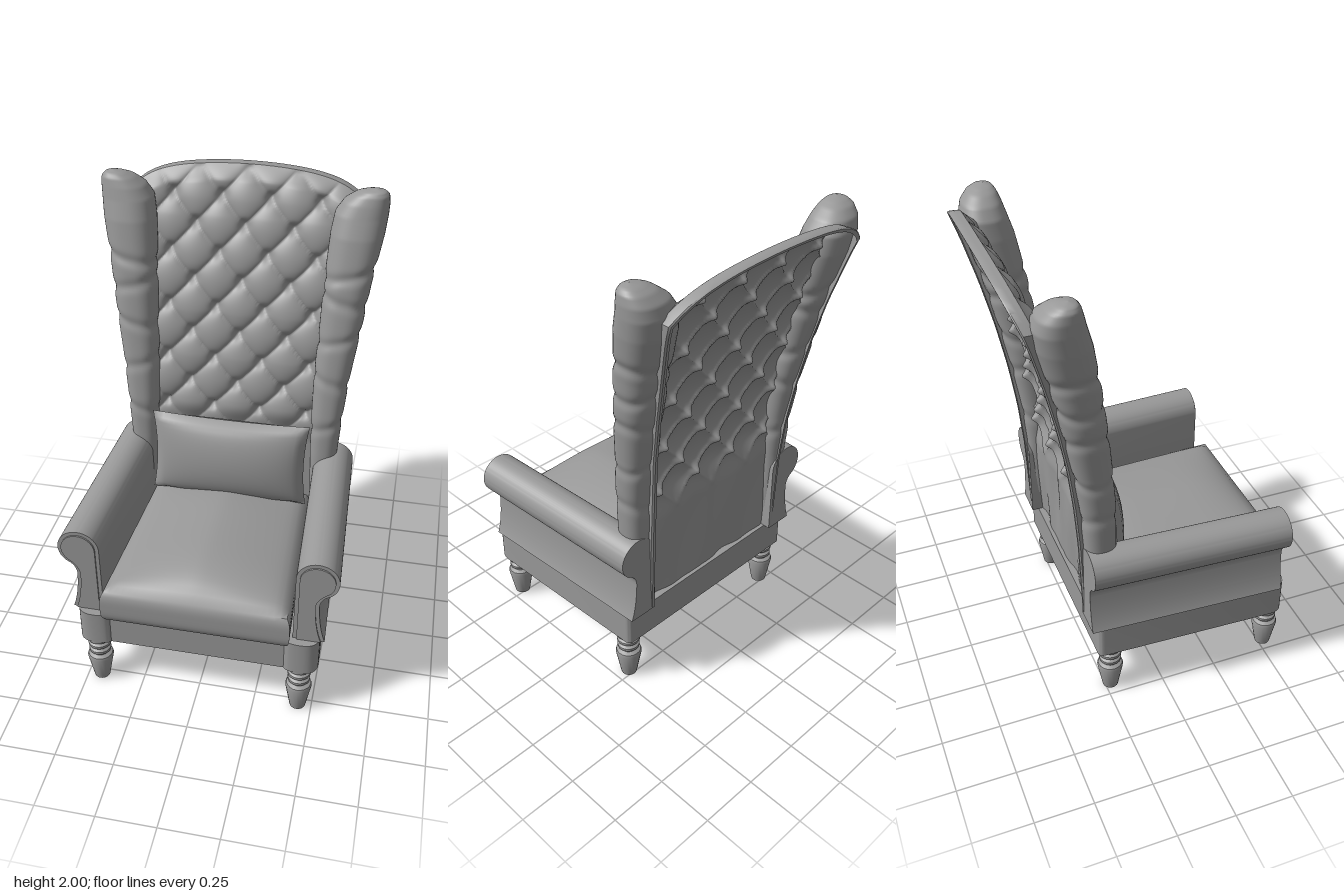
import * as THREE from 'three';
import { toCreasedNormals } from 'three/addons/utils/BufferGeometryUtils.js';

const GREY = 0x999999;
const mat = new THREE.MeshStandardMaterial({ color: GREY });
const thin = new THREE.MeshStandardMaterial({ color: GREY, side: THREE.DoubleSide });
const { sin, cos, abs, exp, PI, pow, sign, sqrt } = Math;

// Smooth grid surface: f(u, v) -> [x, y, z], u and v from 0 to 1
function surface(nu, nv, f, wrap = false) {
  const pos = [], idx = [], cols = wrap ? nu : nu + 1;
  for (let j = 0; j <= nv; j++)
    for (let i = 0; i < cols; i++) pos.push(...f(i / nu, j / nv));
  for (let j = 0; j < nv; j++)
    for (let i = 0; i < nu; i++) {
      const a = j * cols + i, b = j * cols + (i + 1) % cols;
      idx.push(a, b, b + cols, a, b + cols, a + cols);
    }
  const g = new THREE.BufferGeometry();
  g.setAttribute('position', new THREE.Float32BufferAttribute(pos, 3));
  g.setIndex(idx);
  g.computeVertexNormals();
  return g;
}

// Linear lookup in rows of [key, value, value...]
function lookup(rows, y) {
  let i = 0;
  while (i < rows.length - 2 && y > rows[i + 1][0]) i++;
  const a = rows[i], b = rows[i + 1];
  const t = THREE.MathUtils.clamp((y - a[0]) / (b[0] - a[0]), 0, 1);
  return a.map((v, k) => v + (b[k] - v) * t).slice(1);
}

// Move every vertex by a rule
function warp(g, rule) {
  const p = g.attributes.position, v = new THREE.Vector3();
  for (let i = 0; i < p.count; i++) {
    rule(v.fromBufferAttribute(p, i));
    p.setXYZ(i, v.x, v.y, v.z);
  }
  return g;
}

// Backrest outline: [height, rear z, half width]
const BACK = [[0.4, -0.322, 0.385], [0.8, -0.338, 0.39], [1, -0.355, 0.4], [1.2, -0.382, 0.42],
  [1.4, -0.42, 0.44], [1.6, -0.468, 0.465], [1.8, -0.525, 0.5], [1.87, -0.55, 0.51], [2, -0.6, 0.52]];
const PITCH_X = 0.21, PITCH_Y = 0.23, BUTTON_Y = 1.765;

function backPoint(u, v, inset = 0) {
  const top = 2 - 0.06 * u * u - 0.07 * pow(u, 6);
  const y = 0.4 + v * (top - 0.4);
  const [z, w] = lookup(BACK, y);
  return [u * (w - inset), y, z];
}

// Diamond tufting with button pits, fading into soft pleats near the seat
function puff(x, y) {
  const u = x / PITCH_X, v = (y - BUTTON_Y) / PITCH_Y;
  const sa = sin(PI * (u + v)), sb = sin(PI * (u - v)), d = sa * sa + sb * sb;
  const tuft = 0.026 * sqrt(abs(sa * sb)) + 0.014 * (1 - exp(-d * 3)) - 0.016 * exp(-d * 8);
  const pleat = 0.016 * pow(sin(PI * u), 2) * (0.5 + 0.5 * sin(3 * u + 9 * y)) - 0.004;
  const k = THREE.MathUtils.smoothstep(y, 0.8, 0.98);
  return pleat * (1 - k) + tuft * k;
}

// Wing sections: [height, centre x, centre z, radius x, radius z]
const WING = [[0.5, 0.415, -0.255, 0.05, 0.06], [0.8, 0.413, -0.256, 0.06, 0.064], [1, 0.418, -0.264, 0.068, 0.07],
  [1.2, 0.427, -0.288, 0.078, 0.076], [1.4, 0.445, -0.32, 0.088, 0.084], [1.6, 0.459, -0.356, 0.098, 0.092],
  [1.8, 0.481, -0.402, 0.109, 0.1], [1.88, 0.491, -0.42, 0.107, 0.094], [1.93, 0.508, -0.42, 0.092, 0.08],
  [1.965, 0.528, -0.41, 0.068, 0.058], [1.983, 0.54, -0.4, 0.04, 0.034], [1.99, 0.545, -0.396, 0.001, 0.001]];
const GROOVES = [0.95, 1.17, 1.36, 1.53, 1.64];

function wingPoint(u, v) {
  const y = 0.5 + 1.49 * (1 - pow(1 - v, 1.3));
  const [cx, cz, rx, rz] = lookup(WING, y);
  const a = u * 2 * PI, c = cos(a), s = sin(a);
  let k = 1.015;
  GROOVES.forEach((g, i) => {
    const d = y - g + 0.025 * c * (i % 2 ? 1 : -1);
    k -= 0.09 * exp(-pow(d / 0.024, 2));
  });
  return [cx + rx * k * sign(c) * pow(abs(c), 0.85), y, cz - rz * k * sign(s) * pow(abs(s), 0.85)];
}

// Scroll arm section, shrunk by d for the front facing
function armShape(d) {
  const s = new THREE.Shape();
  s.moveTo(0.405 + d, 0.4);
  s.lineTo(0.407 + d, 0.72);
  s.absarc(0.495, 0.72, 0.088 - d, PI, -0.9, true);
  s.quadraticCurveTo(0.505 - d, 0.63, 0.508 - d, 0.58);
  s.quadraticCurveTo(0.512 - d, 0.47, 0.538 - d, 0.4);
  s.closePath();
  return s;
}
function armGeometry(d, z0, z1) {
  const g = new THREE.ExtrudeGeometry(armShape(d), { depth: z1 - z0, bevelEnabled: false, curveSegments: 20 });
  g.translate(0, 0, z0);
  warp(g, p => { p.x -= (0.535 - p.z) * 0.045; });
  return toCreasedNormals(g, 0.7);
}

export function createModel() {
  const chair = new THREE.Group();
  const add = (name, geo, m = mat) => {
    const mesh = new THREE.Mesh(geo, m);
    mesh.name = name;
    chair.add(mesh);
    return mesh;
  };

  // Turned legs
  const legProfile = [[0, 0], [0.034, 0], [0.038, 0.02], [0.057, 0.125], [0.053, 0.137], [0.036, 0.145], [0.036, 0.152],
    [0.048, 0.16], [0.048, 0.172], [0.036, 0.18], [0.05, 0.195], [0.05, 0.207], [0.038, 0.215], [0.052, 0.228], [0.052, 0.245]];
  const leg = toCreasedNormals(new THREE.LatheGeometry(legProfile.map(p => new THREE.Vector2(...p)), 20), 0.6);
  for (const s of [1, -1])
    for (const [n, x, z] of [['front', 0.44, 0.525], ['rear', 0.435, -0.225]])
      add(n + (s > 0 ? 'LeftLeg' : 'RightLeg'), leg).position.set(s * x, 0, z);

  // Seat rail with rounded front corner blocks
  const rail = new THREE.Shape();
  rail.moveTo(-0.465, -0.292);
  rail.lineTo(0.465, -0.292);
  rail.quadraticCurveTo(0.49, -0.292, 0.491, -0.265);
  rail.lineTo(0.518, 0.51);
  rail.quadraticCurveTo(0.518, 0.577, 0.445, 0.577);
  rail.quadraticCurveTo(0.385, 0.577, 0.375, 0.557);
  rail.lineTo(-0.375, 0.557);
  rail.quadraticCurveTo(-0.385, 0.577, -0.445, 0.577);
  rail.quadraticCurveTo(-0.518, 0.577, -0.518, 0.51);
  rail.lineTo(-0.491, -0.265);
  rail.quadraticCurveTo(-0.49, -0.292, -0.465, -0.292);
  const railGeo = new THREE.ExtrudeGeometry(rail, { depth: 0.16, bevelEnabled: false, curveSegments: 8 });
  railGeo.rotateX(PI / 2).translate(0, 0.4, 0);
  add('seatRail', toCreasedNormals(railGeo, 0.6));

  // Crowned seat cushion with softened edges, narrower at the rear
  const cushion = new THREE.BoxGeometry(2, 1, 2, 28, 10, 28);
  warp(cushion, p => {
    const x = p.x, z = p.z, h = p.y + 0.5;
    const edge = 1 - 0.035 * pow(abs(2 * p.y), 4);
    const soft = 0.02 * Math.max(pow(abs(x), 16), pow(abs(z), 16));
    p.z = 0.17 + z * 0.43 * edge;
    p.x = x * (0.38 + 0.02 * z) * edge;
    p.y = 0.395 + h * (0.172 - soft + 0.073 * (1 - pow(abs(x), 1.5)) * (1 - pow(z, 4)));
  });
  add('seatCushion', toCreasedNormals(cushion, 0.9));

  // Lumbar pillow, pinched towards its corners
  const pillowSide = side => surface(28, 20, (u, v) => {
    const a = (2 * u - 1) * side, b = 2 * v - 1;
    const t = 0.092 * pow((1 - a * a) * (1 - b * b), 0.45);
    return [a * 0.355 * (1 - 0.05 * (1 - b * b)), b * 0.2 * (1 - 0.05 * (1 - a * a)), side * t];
  });
  for (const [n, s] of [['pillowFront', 1], ['pillowBack', -1]]) {
    const m = add(n, pillowSide(s));
    m.position.set(0, 0.77, -0.158);
    m.rotation.x = -0.08;
  }

  // Tufted back panel
  add('tuftedBack', surface(150, 210, (u, v) => {
    const p = backPoint(2 * u - 1, v);
    const fade = Math.min(1, (1 - abs(2 * u - 1)) * 12, (1 - v) * 28);
    p[2] += 0.05 + fade * puff(p[0], p[1]);
    return p;
  }), thin);

  // Back frame: rim around sides and top, turned in slightly at the rear
  const rimSection = [[0.05, 0], [0.03, -0.004], [0.006, -0.004], [0, 0.002], [0, 0.014]];
  add('backFrame', toCreasedNormals(surface(90, 4, (t, k) => {
    const [dz, inset] = rimSection[Math.round(k * 4)];
    const s = t * 3;
    const u = s < 1 ? -1 : s > 2 ? 1 : 2 * (s - 1) - 1;
    const v = s < 1 ? s : s > 2 ? 3 - s : 1;
    const p = backPoint(u, v * (1 - Math.max(inset, 0) * 0.6), inset);
    p[2] += dz;
    return p;
  }), 0.7), thin);

  // Wings and scroll arms, mirrored
  const wing = surface(40, 150, wingPoint, true);
  const arm = armGeometry(0, -0.322, 0.535);
  const facing = armGeometry(0.016, 0.53, 0.542);
  for (const s of [1, -1]) {
    const side = s > 0 ? 'left' : 'right';
    add(side + 'Wing', wing).scale.x = s;
    add(side + 'Arm', arm).scale.x = s;
    add(side + 'ArmFacing', facing).scale.x = s;
  }
  return chair;
}
